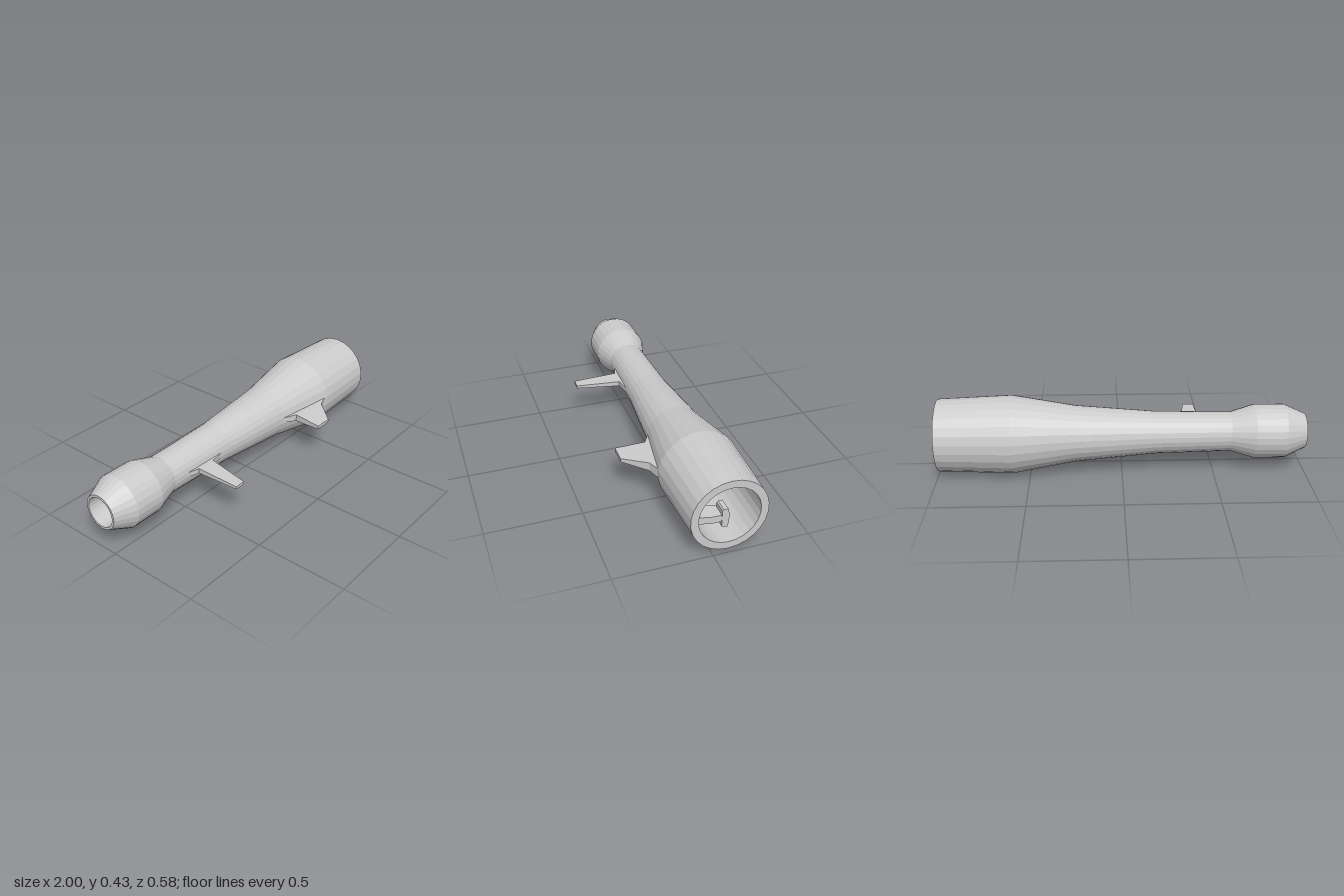
import * as THREE from 'three';

const AXIS_Y = 0.217, AXIS_Z = -0.08;
const material = new THREE.MeshStandardMaterial({ color: 0xcccccc, flatShading: true });

function addPart(parent, name, geometry) {
  const mesh = new THREE.Mesh(geometry, material);
  mesh.name = name;
  parent.add(mesh);
  return mesh;
}

// Blade lofted through four-cornered sections listed by rising z.
// Each section: [x0, z0, halfThickness0, x1, z1, halfThickness1]
function blade(sections) {
  const pos = [], index = [];
  for (const [x0, z0, t0, x1, z1, t1] of sections) {
    pos.push(x0, -t0, z0, x1, -t1, z1, x1, t1, z1, x0, t0, z0);
  }
  for (let s = 0; s < sections.length - 1; s++) {
    for (let k = 0; k < 4; k++) {
      const a = s * 4 + k, b = s * 4 + (k + 1) % 4;
      index.push(a, b, b + 4, a, b + 4, a + 4);
    }
  }
  const e = (sections.length - 1) * 4;
  index.push(0, 2, 1, 0, 3, 2, e, e + 1, e + 2, e, e + 2, e + 3);
  const g = new THREE.BufferGeometry();
  g.setAttribute('position', new THREE.Float32BufferAttribute(pos, 3));
  g.setIndex(index);
  const flat = g.toNonIndexed();
  flat.computeVertexNormals();
  return flat.translate(0, AXIS_Y, 0);
}

export function createModel() {
  const model = new THREE.Group();
  model.name = 'flaredTube';

  // Hollow body: outer wall along +x, then back through the bore
  const profile = [
    [0.095, -1], [0.147, -0.885], [0.147, -0.72], [0.107, -0.59], [0.116, -0.18],
    [0.153, 0.25], [0.213, 0.59], [0.197, 0.99],
    [0.157, 0.99], [0.164, 0.59], [0.116, 0.25], [0.088, -0.18], [0.082, -0.59],
    [0.082, -1], [0.095, -1],
  ].map(([r, x]) => new THREE.Vector2(r, x));
  const body = new THREE.LatheGeometry(profile, 26);
  body.rotateY(Math.PI / 2).rotateZ(-Math.PI / 2).translate(0, AXIS_Y, AXIS_Z);
  addPart(model, 'body', body);

  // Side fins, each with a wide root fairing
  addPart(model, 'narrowFin', blade([
    [-0.53, 0.018, 0.013, -0.17, 0.018, 0.013],
    [-0.435, 0.046, 0.014, -0.33, 0.05, 0.014],
    [-0.43, 0.293, 0.008, -0.37, 0.293, 0.008],
  ]));
  addPart(model, 'wideFin', blade([
    [0.24, 0.065, 0.014, 0.59, 0.122, 0.028],
    [0.32, 0.11, 0.02, 0.51, 0.15, 0.024],
    [0.31, 0.27, 0.01, 0.41, 0.27, 0.01],
  ]));

  // Sight inside the mouth: tapered arm carrying an upright tip
  const sight = new THREE.Group();
  sight.name = 'sight';
  model.add(sight);
  addPart(sight, 'sightArm', blade([
    [0.93, -0.065, 0.019, 0.998, -0.065, 0.019],
    [0.9, 0.02, 0.019, 0.995, 0.02, 0.019],
    [0.78, 0.08, 0.019, 0.98, 0.08, 0.019],
  ]));
  const half = [[-0.07, 0.02], [-0.063, 0.052], [-0.041, 0.052], [-0.034, 0.045]];
  const outline = [...half, ...half.map(([z, y]) => [z, -y]).reverse()];
  const tip = new THREE.ExtrudeGeometry(
    new THREE.Shape(outline.map(([z, y]) => new THREE.Vector2(z, y))),
    { depth: 0.07, bevelEnabled: false });
  tip.rotateY(-Math.PI / 2).translate(1, AXIS_Y, 0);
  addPart(sight, 'sightTip', tip);

  return model;
}
